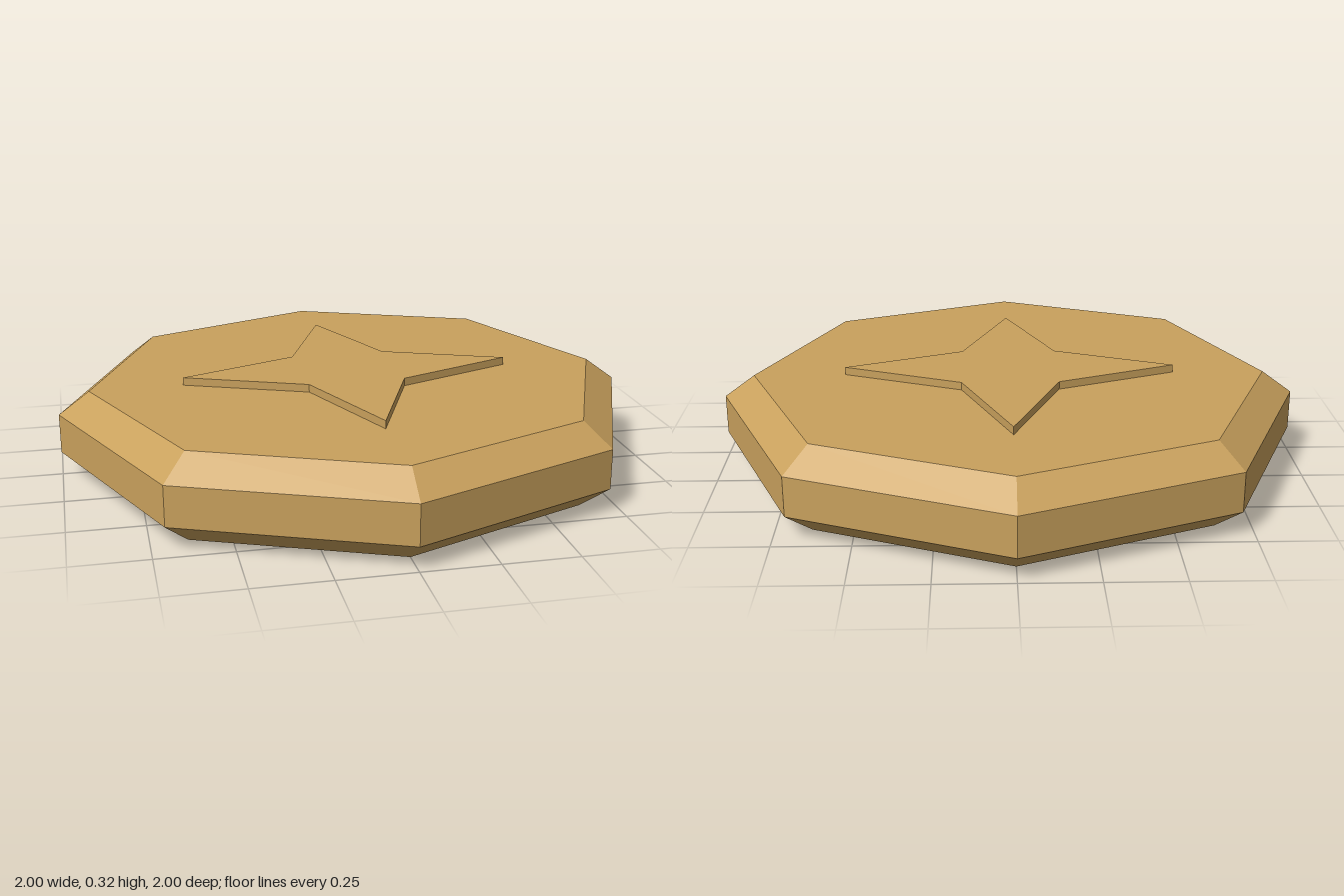
import * as THREE from 'three';

export function createModel() {
  const group = new THREE.Group();
  const gold = new THREE.MeshStandardMaterial({ color: 0xc9a15d, flatShading: true });
  gold.name = 'antique gold';

  // Eight-sided disc with bevelled rims
  const profile = [[0, 0], [0.895, 0], [1, 0.08], [1, 0.215], [0.895, 0.292], [0, 0.292]]
    .map(([r, y]) => new THREE.Vector2(r, y));
  const disc = new THREE.Mesh(new THREE.LatheGeometry(profile, 8), gold);
  disc.name = 'coinDisc';
  group.add(disc);

  // Raised four-pointed star on the top face
  const points = [];
  for (let i = 0; i < 8; i++) {
    const r = i % 2 ? 0.235 : 0.576;
    const a = (i * Math.PI) / 4;
    points.push(new THREE.Vector2(r * Math.cos(a), r * Math.sin(a)));
  }
  const starGeometry = new THREE.ExtrudeGeometry(new THREE.Shape(points), { depth: 0.028, bevelEnabled: false });
  starGeometry.rotateX(-Math.PI / 2);
  const star = new THREE.Mesh(starGeometry, gold);
  star.name = 'raisedStar';
  star.position.y = 0.291;
  group.add(star);

  return group;
}
